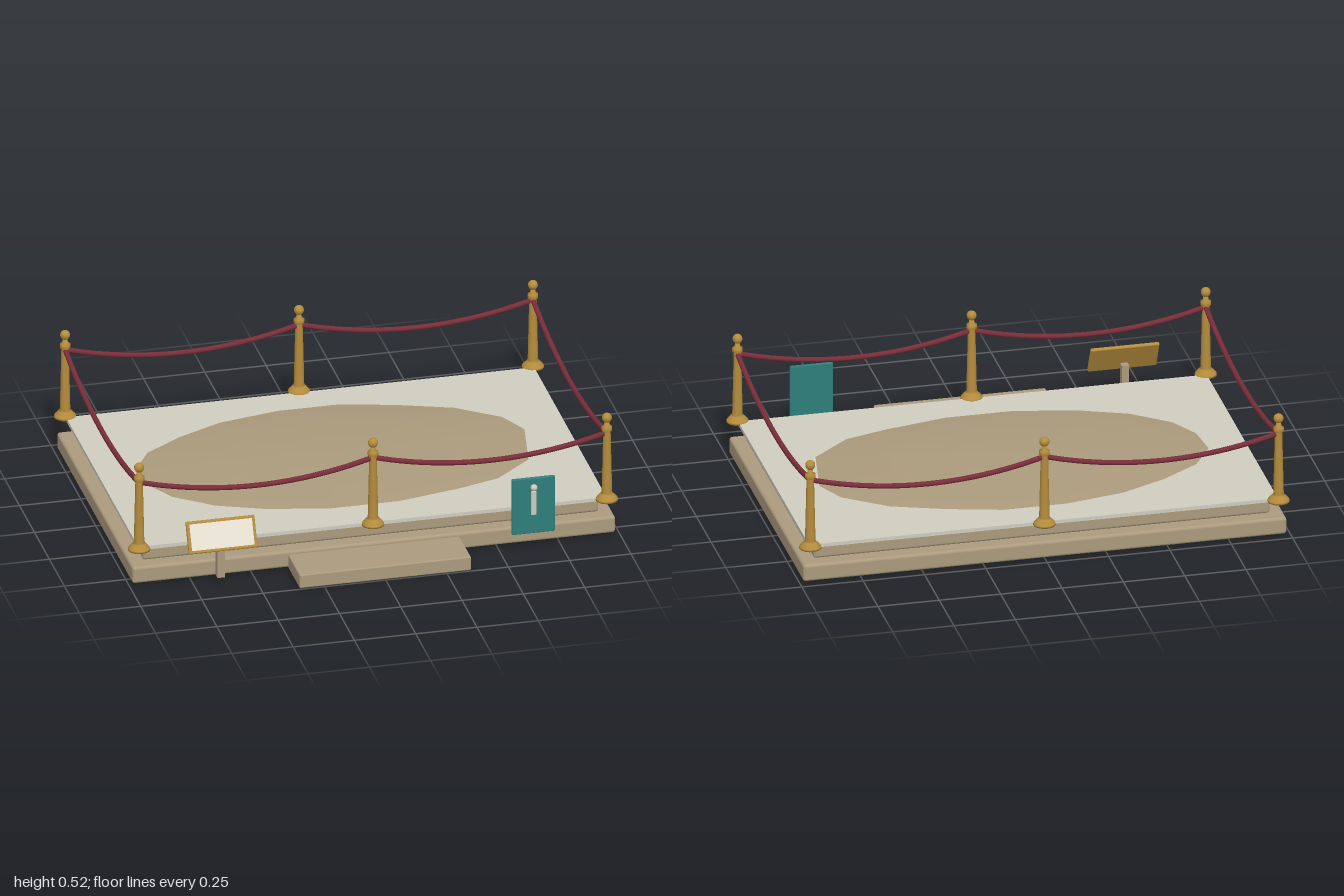
import * as THREE from 'three';
import { RoundedBoxGeometry } from 'three/addons/geometries/RoundedBoxGeometry.js';

const mat = (name, color, extra = {}) => {
  const m = new THREE.MeshStandardMaterial({ color, ...extra });
  m.name = name;
  return m;
};

export function createModel() {
  const group = new THREE.Group();
  const stone = mat('stone', 0xab9a7e);
  const sand = mat('sand', 0xab9a7c, { flatShading: true });
  const slabGrey = mat('pale slab', 0xd0ccc0);
  const brass = mat('brass', 0xb48c3c);
  const velvet = mat('velvet', 0x7a2e3a);
  const teal = mat('teal', 0x2f7f7c);
  const cream = mat('cream', 0xe9e4d4);
  const silver = mat('silver', 0xcfcac0);

  const add = (name, geometry, material, x = 0, y = 0, z = 0, parent = group) => {
    const mesh = new THREE.Mesh(geometry, material);
    mesh.name = name;
    mesh.position.set(x, y, z);
    parent.add(mesh);
    return mesh;
  };
  const rounded = (w, h, d, r) => new RoundedBoxGeometry(w, h, d, 3, r);
  const midZ = -0.08;

  // Stepped plinth
  add('plinthBase', rounded(1.97, 0.072, 1.27, 0.012), stone, 0, 0.039, midZ);
  add('plinthTier', rounded(1.86, 0.062, 1.16, 0.012), stone, 0, 0.106, midZ);
  add('topSlab', new THREE.BoxGeometry(1.91, 0.015, 1.21), slabGrey, 0, 0.1425, midZ);
  add('entryStep', rounded(0.7, 0.06, 0.22, 0.006), stone, 0, 0.03, 0.635);

  // Low mound: concentric rings of an irregular oval outline
  const outline = [
    [-0.13, -0.55], [0.13, -0.55], [0.35, -0.49], [0.57, -0.41], [0.74, -0.28], [0.8, -0.15],
    [0.75, 0.125], [0.59, 0.265], [0.41, 0.32], [0.15, 0.375], [-0.13, 0.375], [-0.385, 0.32],
    [-0.58, 0.24], [-0.73, 0.12], [-0.8, -0.01], [-0.815, -0.16], [-0.73, -0.3], [-0.57, -0.41],
    [-0.38, -0.5],
  ];
  const rings = [1, 0.85, 0.6, 0.3, 0];
  const n = outline.length;
  const positions = [];
  const indices = [];
  rings.forEach((s, r) => {
    outline.forEach(([x, z], i) => {
      positions.push(x * s, 0.149 + 0.028 * (1 - s * s), midZ + (z - midZ) * s);
      if (r === rings.length - 1) return;
      const a = r * n + i, b = r * n + (i + 1) % n;
      indices.push(a, a + n, b);
      if (r < rings.length - 2) indices.push(b, a + n, b + n);
    });
  });
  const mound = new THREE.BufferGeometry();
  mound.setAttribute('position', new THREE.Float32BufferAttribute(positions, 3));
  mound.setIndex(indices);
  mound.computeVertexNormals();
  sand.side = THREE.DoubleSide;
  add('mound', mound, sand);

  // Barrier posts: flared foot, tapered shaft, collar and ball finial
  const postProfile = [
    [0, 0.145], [0.045, 0.145], [0.043, 0.153], [0.026, 0.172], [0.021, 0.178], [0.015, 0.445],
    [0.021, 0.45], [0.021, 0.466], [0.012, 0.472], [0.009, 0.49], [0, 0.495],
  ].map(([x, y]) => new THREE.Vector2(x, y));
  const postGeometry = new THREE.LatheGeometry(postProfile, 20);
  const ballGeometry = new THREE.SphereGeometry(0.02, 16, 12);
  const px = 0.954, frontZ = 0.536, backZ = -0.701;
  for (const z of [frontZ, backZ]) {
    for (const x of [-px, 0, px]) {
      const post = new THREE.Group();
      post.name = 'barrierPost';
      post.position.set(x, 0, z);
      group.add(post);
      add('postShaft', postGeometry, brass, 0, 0, 0, post);
      add('postFinial', ballGeometry, brass, 0, 0.505, 0, post);
    }
  }

  // Sagging ropes between neighbouring posts
  const rope = (x1, z1, x2, z2) => {
    const pts = [];
    for (let i = 0; i <= 10; i++) {
      const t = i / 10;
      pts.push(new THREE.Vector3(
        x1 + (x2 - x1) * t, 0.44 - 0.068 * 4 * t * (1 - t), z1 + (z2 - z1) * t));
    }
    add('rope', new THREE.TubeGeometry(new THREE.CatmullRomCurve3(pts), 24, 0.011, 8), velvet);
  };
  for (const z of [frontZ, backZ]) {
    rope(-px, z, 0, z);
    rope(0, z, px, z);
  }
  for (const x of [-px, px]) rope(x, backZ, x, frontZ);

  // Tilted plaque on a short support
  add('plaqueSupport', new THREE.BoxGeometry(0.03, 0.17, 0.03), stone, -0.64, 0.108, 0.605);
  const plaque = new THREE.Group();
  plaque.name = 'plaque';
  plaque.position.set(-0.64, 0.216, 0.626);
  plaque.rotation.x = -0.45;
  group.add(plaque);
  add('plaqueFrame', rounded(0.28, 0.13, 0.016, 0.005), brass, 0, 0, 0, plaque);
  add('plaqueFace', new THREE.BoxGeometry(0.255, 0.106, 0.004), cream, 0, 0, 0.0085, plaque);

  // Upright panel with a raised bar and ball
  add('uprightPanel', rounded(0.175, 0.243, 0.014, 0.004), teal, 0.632, 0.199, 0.624);
  add('panelBar', rounded(0.022, 0.105, 0.008, 0.003), silver, 0.632, 0.212, 0.633);
  add('panelBall', new THREE.SphereGeometry(0.014, 14, 10), silver, 0.632, 0.281, 0.637);

  return group;
}
